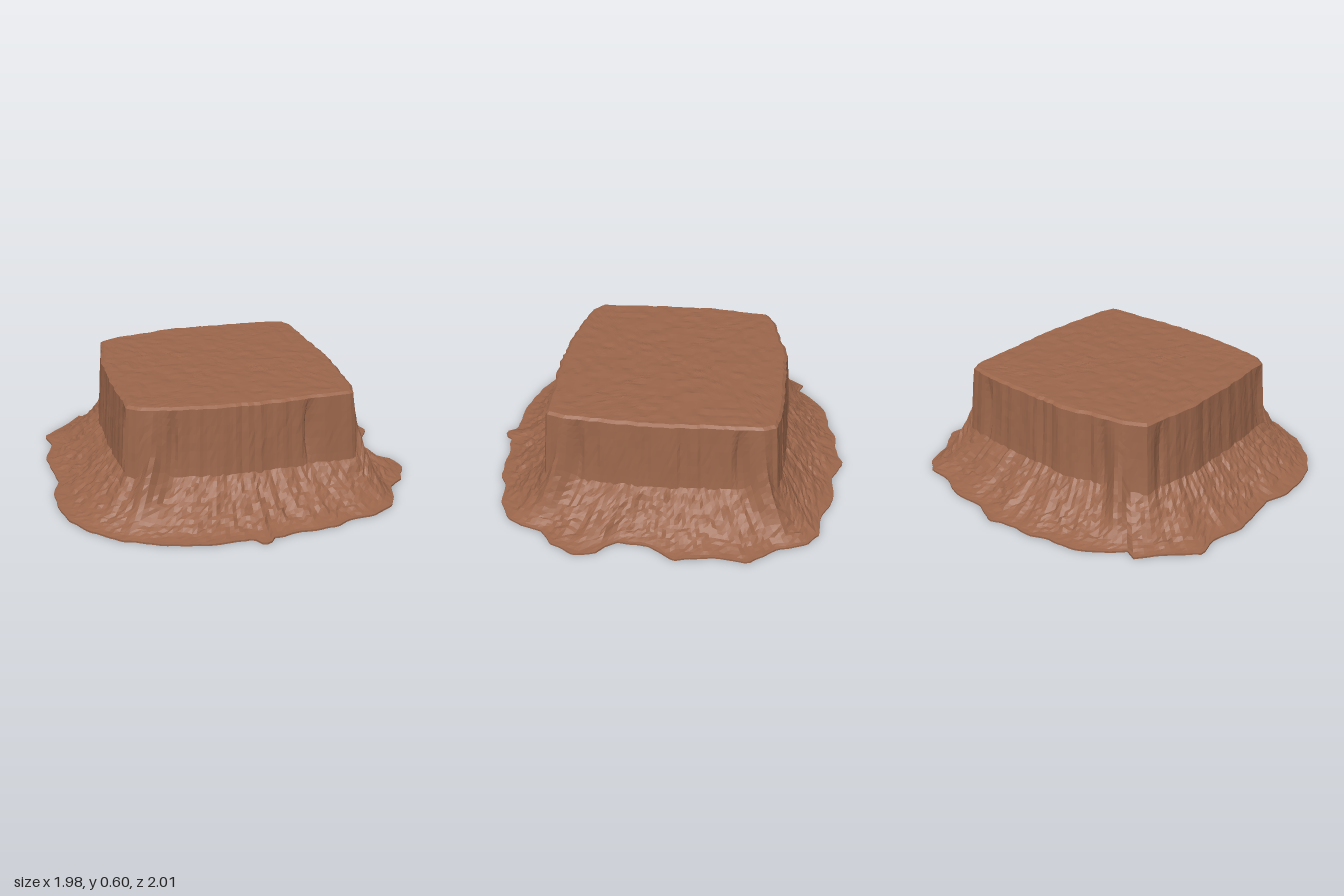
import * as THREE from 'three';

// Ground outline of the scree skirt, as x, z pairs
const SKIRT = [0.88, 0.02, 0.87, 0.18, 0.92, 0.25, 0.97, 0.29, 0.99, 0.4, 0.92, 0.53, 0.83, 0.6, 0.8, 0.72,
  0.75, 0.8, 0.62, 0.87, 0.47, 0.89, 0.4, 0.93, 0.2, 0.94, 0.05, 0.96, 0.02, 1.0, -0.03, 1.0, -0.06, 0.95,
  -0.3, 0.95, -0.5, 0.9, -0.7, 0.8, -0.85, 0.67, -0.94, 0.53, -0.97, 0.4, -0.99, 0.25, -0.95, 0.1,
  -0.97, -0.05, -0.99, -0.2, -0.96, -0.3, -0.94, -0.4, -0.97, -0.52, -0.8, -0.68, -0.73, -0.78,
  -0.68, -0.74, -0.6, -0.82, -0.45, -0.91, -0.3, -0.93, -0.2, -0.96, -0.05, -0.97, 0.07, -1.0,
  0.2, -0.94, 0.4, -0.94, 0.55, -0.87, 0.7, -0.86, 0.78, -0.8, 0.83, -0.65, 0.95, -0.5, 0.93, -0.3, 0.97, -0.12];
// Outline of the plateau rim
const RIM = [0.63, 0, 0.63, 0.2, 0.61, 0.42, 0.61, 0.5, 0.58, 0.59, 0.4, 0.6, 0.1, 0.62, -0.2, 0.61, -0.4, 0.58,
  -0.55, 0.54, -0.61, 0.5, -0.61, 0.4, -0.64, 0.1, -0.64, -0.2, -0.61, -0.42, -0.6, -0.51, -0.5, -0.57,
  -0.3, -0.6, -0.2, -0.64, 0, -0.64, 0.4, -0.63, 0.57, -0.61, 0.6, -0.55, 0.61, -0.4];
// Directions of the rock buttresses and of the gullies in the cliff
const BUTTRESSES = [0.69, 2.27, 4.04, 5.57];
const GULLIES = [0.6, 1.07, 2.16, 2.5, 3.75, 4.14, 5.3, 5.68];
const SEG = 240;
const TAU = Math.PI * 2;

// Repeatable noise in -1..1
function noise(i, j) {
  const s = Math.sin(i * 127.1 + j * 311.7) * 43758.5453;
  return (s - Math.floor(s)) * 2 - 1;
}

// Smoothly blended noise over a plane
function smoothNoise(x, z) {
  const i = Math.floor(x), j = Math.floor(z), u = x - i, v = z - j;
  const near = noise(i, j) * (1 - u) + noise(i + 1, j) * u;
  const far = noise(i, j + 1) * (1 - u) + noise(i + 1, j + 1) * u;
  return near * (1 - v) + far * v;
}

// Radius of an outline at each of the SEG directions, slightly ragged
function radii(points, ragged) {
  const polar = [];
  for (let i = 0; i < points.length; i += 2) {
    const a = (Math.atan2(points[i + 1], points[i]) + TAU) % TAU;
    polar.push([a, Math.hypot(points[i], points[i + 1])]);
  }
  polar.sort((p, q) => p[0] - q[0]);
  const first = polar[0], last = polar[polar.length - 1];
  const all = [[last[0] - TAU, last[1]], ...polar, [first[0] + TAU, first[1]]];
  return Array.from({ length: SEG }, (_, j) => {
    const a = j / SEG * TAU;
    const k = all.findIndex((p) => p[0] > a);
    const [a0, r0] = all[k - 1], [a1, r1] = all[k];
    // straight edge between the two outline points
    const r = r0 * r1 * Math.sin(a1 - a0) / (r0 * Math.sin(a - a0) + r1 * Math.sin(a1 - a));
    return r + ragged * smoothNoise(20 * Math.cos(a), 20 * Math.sin(a));
  });
}

// Sum of soft peaks around the given directions
function peaks(directions, width, j) {
  const a = j / SEG * TAU;
  return directions.reduce((sum, d) => sum + Math.exp(-(((a - d) / width) ** 2)), 0);
}

// Surface from closed rings; point(i, j) returns [radius, y]
function ringSurface(rings, point) {
  const pos = [], index = [];
  for (let i = 0; i < rings; i++) {
    for (let j = 0; j < SEG; j++) {
      const a = j / SEG * TAU, [r, y] = point(i, j);
      pos.push(r * Math.cos(a), y, r * Math.sin(a));
      if (i === rings - 1) continue;
      const k = (j + 1) % SEG;
      const p = i * SEG + j, q = i * SEG + k, u = p + SEG, v = q + SEG;
      index.push(p, u, q, q, u, v);
    }
  }
  const g = new THREE.BufferGeometry();
  g.setAttribute('position', new THREE.Float32BufferAttribute(pos, 3));
  g.setIndex(index);
  g.computeVertexNormals();
  return g;
}

export function createModel() {
  const rock = new THREE.MeshStandardMaterial({ color: 0x9b664b, flatShading: true });
  rock.name = 'red rock';
  const under = new THREE.MeshStandardMaterial({ color: 0x9c9c9c });
  under.name = 'grey underside';

  const skirt = radii(SKIRT, 0.008), rim = radii(RIM, 0.008);
  const buttress = (j) => peaks(BUTTRESSES, 0.055, j);
  const gully = (j) => 0.025 * peaks(GULLIES, 0.03, j);
  const footHeight = (j) => 0.22 + 0.14 * buttress(j) + 0.008 * noise(3, j);
  const footRadius = (j) => rim[j] * 1.045 + 0.012 * buttress(j) - gully(j) * 0.4;

  const group = new THREE.Group();
  const add = (name, geometry, material) => {
    const mesh = new THREE.Mesh(geometry, material);
    mesh.name = name;
    group.add(mesh);
  };

  // Scree slope: concave fall from the cliff foot to the ground
  const S = 16;
  add('screeSlope', ringSurface(S + 2, (i, j) => {
    if (i === 0) return [skirt[j], 0];
    const t = 1 - (i - 1) / S;
    const inside = t > 0 && t < 1 ? 1 : 0;
    const foot = footRadius(j);
    const bump = inside * (0.006 * noise(i, j) + 0.007 * noise(Math.floor(i / 3) + 40, Math.floor(j / 2)));
    const y = 0.01 + (footHeight(j) - 0.01) * Math.pow(1 - t, 1.65) + bump * Math.min(1, (1 - t) * 3);
    return [foot + (skirt[j] - foot) * t + inside * 0.004 * noise(i + 80, j), Math.max(y, 0.006)];
  }), rock);

  // Cliff: nearly upright wall with a softly worn rim
  const C = 8;
  add('cliff', ringSurface(C + 2, (i, j) => {
    if (i === C + 1) return [rim[j] - 0.018, 0.6];
    const t = i / C, foot = footRadius(j), low = footHeight(j);
    const worn = Math.sin(Math.PI * t);
    const r = foot + (rim[j] - foot) * Math.pow(t, 0.8)
      - worn * (gully(j) + 0.005 * noise(7, Math.floor(j / 3)) + 0.0015 * noise(i, j));
    return [r, low + (0.588 - low) * t];
  }), rock);

  // Plateau: almost flat, lightly pitted
  const P = 26;
  add('plateau', ringSurface(P + 1, (i, j) => {
    const a = j / SEG * TAU, r = (rim[j] - 0.018) * (1 - i / P);
    const pits = i > 0 ? 0.005 * smoothNoise(28 * r * Math.cos(a), 28 * r * Math.sin(a)) : 0;
    return [r, 0.6 + pits];
  }), rock);

  // Flat underside
  add('underside', ringSurface(2, (i, j) => [skirt[j] * i, 0]), under);

  return group;
}
